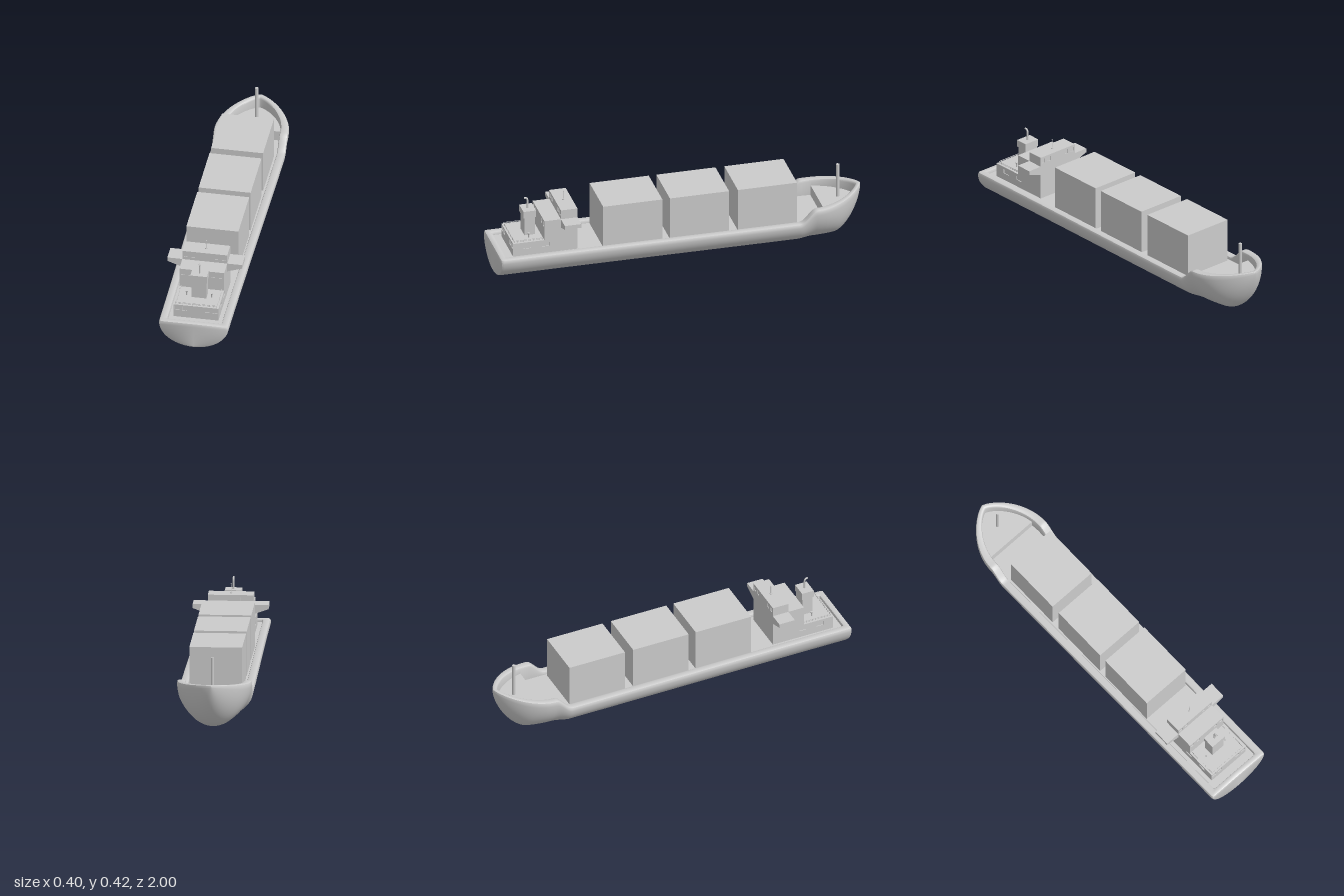
import * as THREE from 'three';
import { toCreasedNormals } from 'three/addons/utils/BufferGeometryUtils.js';

const grey = new THREE.MeshStandardMaterial({ color: 0xcccccc, side: THREE.DoubleSide });
const { clamp, smoothstep, lerp } = THREE.MathUtils;

function add(parent, name, geometry, x = 0, y = 0, z = 0) {
  const mesh = new THREE.Mesh(geometry, grey);
  mesh.name = name;
  mesh.position.set(x, y, z);
  parent.add(mesh);
  return mesh;
}

// Box given by its extents
function block(parent, name, x0, x1, y0, y1, z0, z1) {
  return add(parent, name, new THREE.BoxGeometry(x1 - x0, y1 - y0, z1 - z0),
    (x0 + x1) / 2, (y0 + y1) / 2, (z0 + z1) / 2);
}

// Upright cylinder standing on y
function post(parent, name, r, h, x, y, z, rTop = r, sides = 16) {
  return add(parent, name, new THREE.CylinderGeometry(rTop, r, h, sides), x, y + h / 2, z);
}

// Hull lines: half breadth, sheer, keel and deck height along z (bow at -z)
const breadth = z => {
  const t = clamp((-0.72 - z) / 0.28, 0, 1);
  return (0.197 - 0.011 * smoothstep(z, -0.75, 0.9)) * Math.pow(1 - t * t, 0.75);
};
const sheer = z => 0.152 + 0.07 * smoothstep(z * -1, 0.625, 0.72)
  + 0.038 * Math.pow(clamp((-z - 0.72) / 0.28, 0, 1), 1.5);
const keel = z => {
  const t = clamp((-0.84 - z) / 0.16, 0, 1);
  return 0.002 + 0.25 * (1 - Math.pow(1 - Math.pow(t, 1.6), 0.65));
};
const deckHeight = z => (z > -0.77 ? 0.135 : 0.19);
const innerZ = z => (z < -0.75 ? -0.75 + (z + 0.75) * 0.89 : z > 0.9 ? 0.9 + (z - 0.9) * 0.65 : z);

// Half section from keel, up the side, over the rim and down to the deck centre
function halfSection({ z, scale = 1, lift = 0 }) {
  const w = breadth(z) * scale, zi = innerZ(z), wi = w * 0.77;
  const k = keel(z) + lift, points = [];
  const top = sheer(z), topIn = sheer(zi), side = Math.max(top - 0.012, k);
  for (let j = 0; j <= 20; j++) {
    const a = (j / 20) * Math.PI / 2;
    points.push([w * Math.sin(a), side - (side - k) * Math.cos(a), z]);
  }
  for (const [f, drop] of [[0.08, 0.003], [0.25, 0], [0.75, 0], [0.92, 0.003], [1, 0.012]])
    points.push([lerp(w, wi, f), lerp(top, topIn, f) - drop, lerp(z, zi, f)]);
  points.push([wi, deckHeight(zi), zi], [0, deckHeight(zi), zi]);
  return points;
}

function hullGeometry() {
  const stations = [{ z: 1, scale: 0, lift: 0.007 }, { z: 1, scale: 0.955, lift: 0.007 },
    { z: 0.996, scale: 0.985, lift: 0.002 }, { z: 0.985 }];
  for (let z = 0.9; z > -0.55; z -= 0.1) stations.push({ z });
  for (let z = -0.6; z > -0.74; z -= 0.01) stations.push({ z });
  stations.push({ z: -0.75 }, { z: -0.7715 }, { z: -0.7735 });
  for (let i = 1; i <= 22; i++) stations.push({ z: -0.7735 - 0.2265 * Math.sin(i / 22 * Math.PI / 2) });
  const rows = stations.map(halfSection), pos = [];
  for (const s of [1, -1]) {
    const tri = (a, b, c) => {
      for (const p of s > 0 ? [a, b, c] : [a, c, b]) pos.push(p[0] * s * 100, p[1] * 100, p[2] * 100);
    };
    for (let i = 0; i < rows.length - 1; i++)
      for (let j = 0; j < rows[i].length - 1; j++) {
        const a = rows[i][j], b = rows[i][j + 1], c = rows[i + 1][j], d = rows[i + 1][j + 1];
        tri(a, c, b);
        tri(b, c, d);
      }
  }
  const g = new THREE.BufferGeometry();
  g.setAttribute('position', new THREE.Float32BufferAttribute(pos, 3));
  return toCreasedNormals(g, 0.7).scale(0.01, 0.01, 0.01);
}

// Wall panel with square window openings; windows are [x, y, width, height]
const WALL = 0.004;
function wall(parent, name, width, height, windows) {
  const rect = (T, x, y, w, h) => new T([[-1, -1], [1, -1], [1, 1], [-1, 1]]
    .map(([a, b]) => new THREE.Vector2(x + a * w / 2, y + b * h / 2)));
  const shape = rect(THREE.Shape, 0, height / 2, width, height);
  for (const win of windows) shape.holes.push(rect(THREE.Path, ...win));
  return add(parent, name, new THREE.ExtrudeGeometry(shape, { depth: WALL, bevelEnabled: false }));
}

function superstructure() {
  const g = new THREE.Group();
  g.name = 'superstructure';
  const row = (y, w, h) => [-0.101, -0.061, 0.061, 0.101].map(x => [x, y, w, h]);

  // Lower house with windows aft and on both sides
  block(g, 'lowerHouse', -0.12 + WALL, 0.12 - WALL, 0.13, 0.21, 0.57, 0.92 - WALL);
  wall(g, 'lowerAftWall', 0.24, 0.08, row(0.059, 0.026, 0.025)).position.set(0, 0.13, 0.92 - WALL);
  for (const s of [1, -1]) {
    const side = wall(g, 'lowerSideWall', 0.346, 0.08,
      [[-s * 0.1, 0.055, 0.04, 0.023], [s * 0.0, 0.055, 0.04, 0.023]]);
    side.rotation.y = s * Math.PI / 2;
    side.position.set(s * (0.12 - WALL), 0.13, 0.743);
  }

  // Middle house
  block(g, 'middleHouse', -0.12, 0.12, 0.21, 0.322, 0.57, 0.75 - WALL);
  wall(g, 'middleAftWall', 0.24, 0.112, row(0.088, 0.02, 0.025)).position.set(0, 0.21, 0.75 - WALL);

  // Bridge with windows fore and aft
  block(g, 'bridge', -0.12, 0.12, 0.322, 0.374, 0.57 + WALL, 0.66 - WALL);
  for (const z of [0.57, 0.66 - WALL])
    wall(g, 'bridgeWall', 0.24, 0.052, row(0.028, 0.02, 0.023)).position.set(0, 0.322, z);

  // Bridge wings with sloping undersides
  for (const s of [1, -1]) {
    const shape = new THREE.Shape([[0.12, 0.322], [0.12, 0.272], [0.2, 0.3], [0.2, 0.322]]
      .map(([x, y]) => new THREE.Vector2(s * x, y)));
    add(g, 'bridgeWing', new THREE.ExtrudeGeometry(shape, { depth: 0.09, bevelEnabled: false }), 0, 0, 0.57);
  }

  // Aerial
  post(g, 'aerialBase', 0.007, 0.004, 0, 0.374, 0.615);
  post(g, 'aerial', 0.0015, 0.05, 0, 0.374, 0.615);
  add(g, 'aerialTip', new THREE.SphereGeometry(0.003, 12, 8), 0, 0.424, 0.615);
  return g;
}

function funnel() {
  const g = new THREE.Group();
  g.name = 'funnel';
  block(g, 'funnelCasing', -0.04, 0.04, 0.21, 0.312, 0.78, 0.837);
  block(g, 'funnelTop', -0.044, 0.044, 0.312, 0.351, 0.775, 0.843);
  const path = new THREE.CatmullRomCurve3([[0.35, 0.81], [0.38, 0.81], [0.4, 0.811], [0.408, 0.816], [0.411, 0.828]]
    .map(([y, z]) => new THREE.Vector3(0, y, z)));
  add(g, 'exhaustPipe', new THREE.TubeGeometry(path, 24, 0.005, 12));
  // Deck ventilators
  for (const x of [-0.067, 0.067]) {
    post(g, 'ventPipe', 0.004, 0.015, x, 0.21, 0.82);
    post(g, 'ventCowl', 0.004, 0.011, x, 0.225, 0.82, 0.007);
  }
  return g;
}

// Railing round the aft end of the lower house
function railing() {
  const g = new THREE.Group();
  g.name = 'railing';
  const X = 0.109, Z0 = 0.755, Z1 = 0.911, r = 0.001;
  for (const y of [0.215, 0.221]) {
    block(g, 'aftRail', -X, X, y - r, y + r, Z1 - r, Z1 + r);
    for (const x of [-X, X]) block(g, 'sideRail', x - r, x + r, y - r, y + r, Z0, Z1);
  }
  for (let i = 0; i <= 12; i++) post(g, 'railPost', 0.0013, 0.012, lerp(-X, X, i / 12), 0.21, Z1, 0.0013, 6);
  for (let i = 0; i < 9; i++)
    for (const x of [-X, X]) post(g, 'railPost', 0.0013, 0.012, x, 0.21, lerp(Z0, Z1, i / 9), 0.0013, 6);
  return g;
}

export function createModel() {
  const ship = new THREE.Group();
  ship.name = 'cargoShip';
  add(ship, 'hull', hullGeometry());

  // Cargo stacks
  for (const z of [-0.62, -0.25, 0.113])
    block(ship, 'cargoStack', -0.139, 0.139, 0.13, 0.375, z, z + 0.322);

  post(ship, 'bowMast', 0.009, 0.19, 0, 0.19, -0.878);
  ship.add(superstructure(), funnel(), railing());
  return ship;
}
